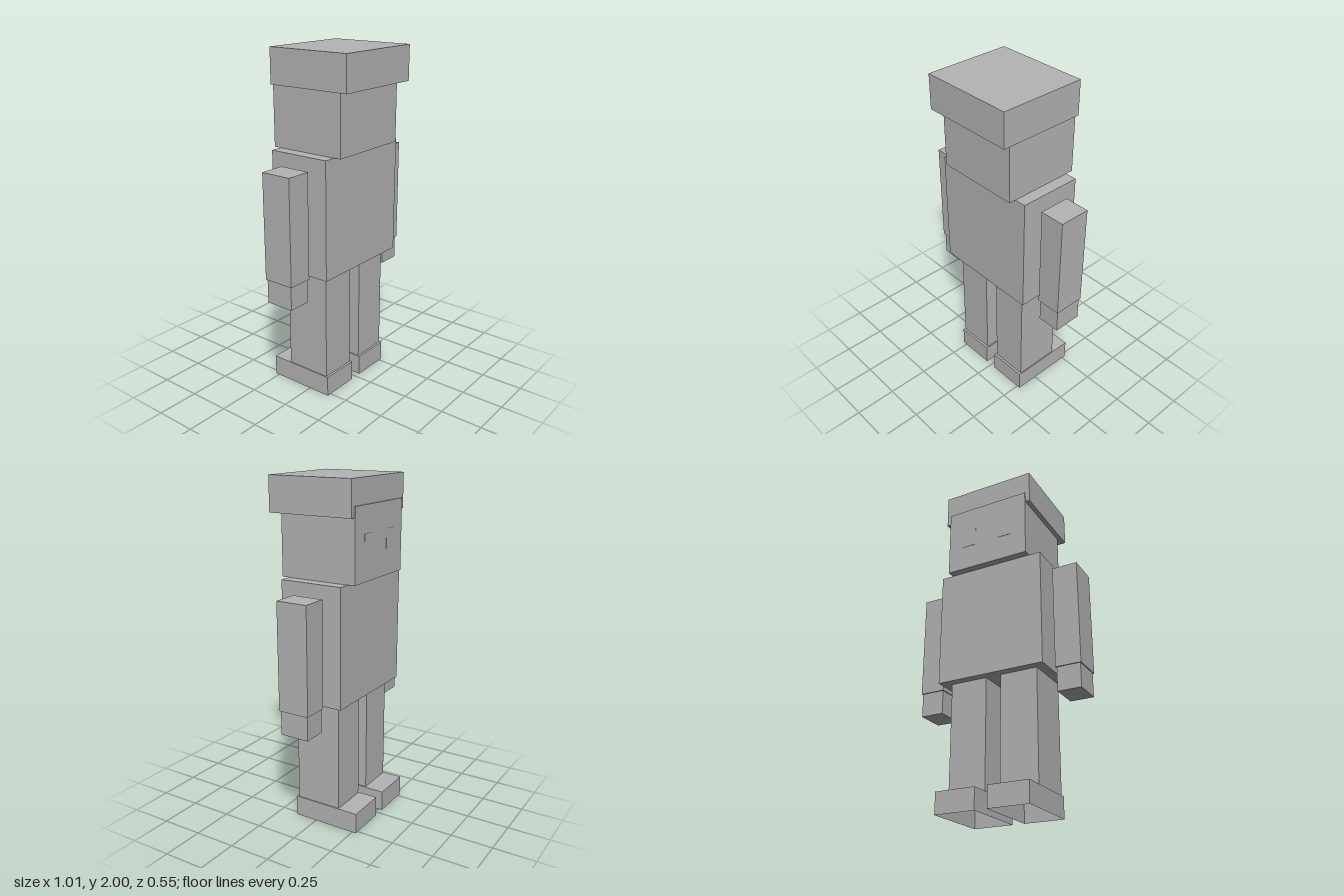
import * as THREE from 'three';

export function createModel() {
  const model = new THREE.Group();
  const grey = new THREE.MeshStandardMaterial({ color: 0xb4b4b4, side: THREE.DoubleSide });
  grey.name = 'plain grey';

  // Box given by its limits on each axis
  function box(name, [x0, x1], [y0, y1], [z0, z1], openBottom = false) {
    const geometry = new THREE.BoxGeometry(x1 - x0, y1 - y0, z1 - z0);
    if (openBottom) {
      // Leave out the downward face (fourth side, six indices each)
      const index = Array.from(geometry.index.array);
      index.splice(18, 6);
      geometry.setIndex(index);
      geometry.clearGroups();
    }
    const mesh = new THREE.Mesh(geometry, grey);
    mesh.name = name;
    mesh.position.set((x0 + x1) / 2, (y0 + y1) / 2, (z0 + z1) / 2);
    model.add(mesh);
    return mesh;
  }

  // Torso, head and cap; the face looks towards -z
  box('torso', [-0.328, 0.325], [0.765, 1.45], [-0.205, 0.173]);
  box('head', [-0.258, 0.256], [1.45, 1.8], [-0.243, 0.215]);
  box('cap', [-0.285, 0.283], [1.8, 2], [-0.242, 0.275]);
  box('facePlate', [-0.258, 0.256], [1.45, 1.86], [-0.249, -0.242]);

  // Limbs and eyes, mirrored about the body's centre line
  const centre = -0.0025;
  for (const side of [1, -1]) {
    const prefix = side > 0 ? 'left' : 'right';
    const span = (a, b) => [centre + side * a, centre + side * b].sort((p, q) => p - q);
    box(prefix + 'Sleeve', span(0.357, 0.507), [0.765, 1.38], [-0.11, 0.077]);
    box(prefix + 'Hand', span(0.363, 0.501), [0.625, 0.765], [-0.103, 0.069]);
    box(prefix + 'Leg', span(0.045, 0.268), [0.12, 0.765], [-0.155, 0.123]);
    // Hollow shoes, open underneath
    box(prefix + 'Shoe', span(0.037, 0.274), [0, 0.122], [-0.275, 0.137], true);
    box(prefix + 'Eye', span(0.077, 0.163), [1.6, 1.71], [-0.251, -0.248]);
  }
  return model;
}
